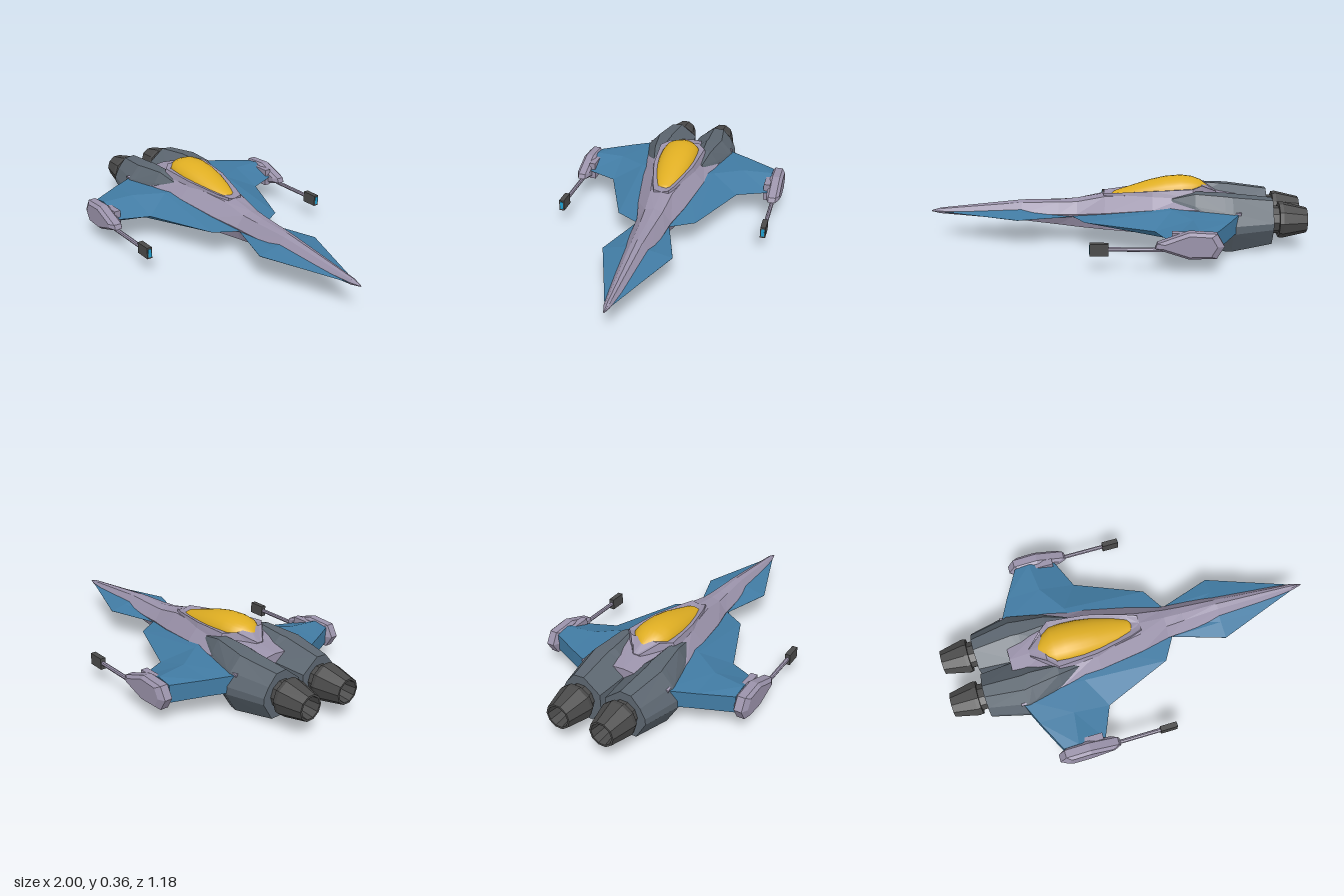
import * as THREE from 'three';

const paint = (color, flat = true) => new THREE.MeshStandardMaterial({ color, flatShading: flat });
const HULL = paint(0x9a92aa), BLUE = paint(0x417ba3), GREY = paint(0x5c6670);
const DARK = paint(0x4a4a4a), CYAN = paint(0x1f9fd0), GLASS = paint(0xdfae22, false);
DARK.side = THREE.DoubleSide;

// Closed skin through rings of [x, y, z] points, capped at both ends
function loft(rings) {
  const n = rings[0].length;
  const pos = rings.flat();
  const idx = [];
  for (let i = 0; i < rings.length - 1; i++) {
    for (let j = 0; j < n; j++) {
      const a = i * n + j, b = i * n + (j + 1) % n;
      idx.push(a, b, b + n, a, b + n, a + n);
    }
  }
  [0, rings.length - 1].forEach((r, end) => {
    const c = pos.length;
    pos.push([0, 1, 2].map(k => rings[r].reduce((s, p) => s + p[k], 0) / n));
    for (let j = 0; j < n; j++) {
      const a = r * n + j, b = r * n + (j + 1) % n;
      if (end) idx.push(c, a, b); else idx.push(c, b, a);
    }
  });
  // Turn the faces outward if the enclosed volume is negative
  const v = pos.map(p => new THREE.Vector3(...p));
  let volume = 0;
  for (let t = 0; t < idx.length; t += 3) {
    volume += v[idx[t]].dot(v[idx[t + 1]].clone().cross(v[idx[t + 2]]));
  }
  if (volume < 0) idx.reverse();
  const g = new THREE.BufferGeometry();
  g.setAttribute('position', new THREE.Float32BufferAttribute(pos.flat(), 3));
  g.setIndex(idx);
  g.computeVertexNormals();
  return g;
}

// Ring at x from a half outline of [z, y] running from top centre to bottom centre
function mirrorRing(x, half) {
  const right = half.slice(1, -1).reverse().map(([z, y]) => [x, y, -z]);
  return [...half.map(([z, y]) => [x, y, z]), ...right];
}

export function createModel() {
  const model = new THREE.Group();
  const add = (name, geometry, material, parent = model) => {
    const mesh = new THREE.Mesh(geometry, material);
    mesh.name = name;
    parent.add(mesh);
    return mesh;
  };

  // Fuselage: x, then top, shoulder, waist, lower edge and keel
  const body = [
    [1, [0, .151], [.002, .15], [.003, .148], [.002, .146], [0, .145]],
    [.95, [0, .166], [.01, .162], [.018, .15], [.01, .137], [0, .134]],
    [.5, [0, .216], [.028, .206], [.07, .155], [.045, .112], [0, .1]],
    [.3, [0, .22], [.04, .212], [.085, .155], [.055, .093], [0, .086]],
    [.2, [0, .23], [.048, .218], [.092, .158], [.065, .084], [0, .08]],
    [.05, [0, .257], [.06, .25], [.13, .175], [.1, .08], [0, .077]],
    [-.2, [0, .268], [.11, .275], [.175, .205], [.17, .08], [0, .077]],
    [-.42, [0, .285], [.125, .285], [.212, .217], [.225, .08], [0, .075]],
    [-.65, [0, .25], [.11, .24], [.254, .215], [.22, .09], [0, .075]],
  ];
  add('fuselage', loft(body.map(([x, ...half]) => mirrorRing(x, half))), HULL);

  // Raised rim round the canopy: x, centre height, rim half width and height
  const rim = [
    [-.54, .27, .02, .275], [-.46, .325, .085, .318], [-.41, .28, .13, .308],
    [-.2, .26, .112, .292], [0, .25, .062, .27], [.06, .255, .04, .266],
  ];
  add('canopyFrame', loft(rim.map(([x, c, w, h]) =>
    mirrorRing(x, [[0, c], [w * .8, h - .004], [w, h], [w * 1.12, h - .045], [0, .2]]))), HULL);

  // Canopy glass: x, half width, base height, top height
  const glass = [
    [-.49, .02, .29, .305], [-.455, .07, .29, .334], [-.41, .098, .29, .35], [-.35, .103, .285, .357],
    [-.27, .103, .275, .35], [-.18, .093, .265, .329], [-.08, .07, .255, .296], [0, .04, .25, .27],
    [.015, .02, .25, .258],
  ];
  add('canopy', loft(glass.map(([x, w, y0, y1]) => {
    const ring = [];
    for (let i = 0; i <= 12; i++) {
      const a = Math.PI * i / 12;
      ring.push([x, y0 + (y1 - y0) * Math.sin(a), w * Math.cos(a)]);
    }
    return ring;
  })), GLASS);

  // Engine pod outline, scaled between limits at each station
  const podShape = [[.25, 0], [.75, 0], [1, .39], [1, .53], [.88, .75], [.67, .98], [.4, 1], [0, .7], [0, .26]];
  const podStations = [
    [-.82, .015, .235, .035, .265], [-.61, 0, .285, 0, .287],
    [-.57, 0, .275, 0, .29], [-.42, .05, .222, .055, .296], [-.3, .08, .17, .085, .262],
  ];

  // Wing stations: z, rear x, rear top y, ridge x, ridge y, front x, rear bottom y, belly y
  const wingStations = [
    [.06, -.6, .21, -.25, .225, .24, .12, .1], [.21, -.655, .208, -.3, .217, .15, .12, .1],
    [.36, -.585, .2, -.4, .208, -.21, .115, .09], [.525, -.5, .19, -.42, .202, -.28, .1, .08],
  ];

  for (const s of [1, -1]) {
    const side = new THREE.Group();
    side.name = s > 0 ? 'leftSide' : 'rightSide';
    model.add(side);

    add('enginePod', loft(podStations.map(([x, z0, z1, y0, y1]) =>
      podShape.map(([u, v]) => [x, y0 + (y1 - y0) * v, s * (z0 + (z1 - z0) * u)]))), GREY, side);

    // Collar and tapered hollow nozzle
    const profile = [[0, -.91], [.045, -.91], [.056, -1], [.066, -1], [.095, -.875], [.092, -.855],
      [.072, -.855], [.072, -.81]].map(p => new THREE.Vector2(...p));
    const nozzle = add('nozzle', new THREE.LatheGeometry(profile, 10).rotateZ(-Math.PI / 2), DARK, side);
    nozzle.position.set(0, .15, s * .122);

    add('wing', loft(wingStations.map(([z, rx, rt, mx, my, fx, rb, by]) => [
      [rx, rt, s * z], [mx, my, s * z], [fx, .147, s * z], [mx, by, s * z], [rx, rb, s * z],
    ])), BLUE, side);

    // Small diamond foreplane
    add('foreplane', loft([[0, .2, .99, .04], [.09, .225, .742, .02], [.178, .498, .502, .001]].map(
      ([z, r, f, t]) => [[r, .145, s * z], [.5, .145 + t, s * z], [f, .146, s * z], [.5, .145 - t, s * z]]
    )), BLUE, side);

    // Wingtip gun: mount, faceted housing, barrel and muzzle
    const mount = add('gunMount', new THREE.BoxGeometry(.2, .095, .035), HULL, side);
    mount.position.set(-.39, .143, s * .515);
    const outline = [[-.535, .14], [-.5, .2], [-.37, .206], [-.22, .15], [-.21, .125], [-.37, .075], [-.5, .08]];
    const ring = (z, k) => outline.map(([x, y]) => [-.38 + (x + .38) * k, .14 + (y - .14) * k, s * z]);
    add('gunHousing', loft([ring(.52, .8), ring(.535, 1), ring(.575, 1), ring(.592, .78)]), HULL, side);

    const barrel = add('gunBarrel', new THREE.CylinderGeometry(.011, .011, .27, 8).rotateZ(Math.PI / 2), HULL, side);
    barrel.position.set(-.115, .115, s * .556);
    const muzzle = add('muzzle', new THREE.BoxGeometry(.09, .06, .028), DARK, side);
    muzzle.position.set(.055, .113, s * .556);
    const lens = add('muzzleLens', new THREE.BoxGeometry(.004, .042, .016), CYAN, side);
    lens.position.set(.1, .113, s * .556);
  }
  return model;
}
